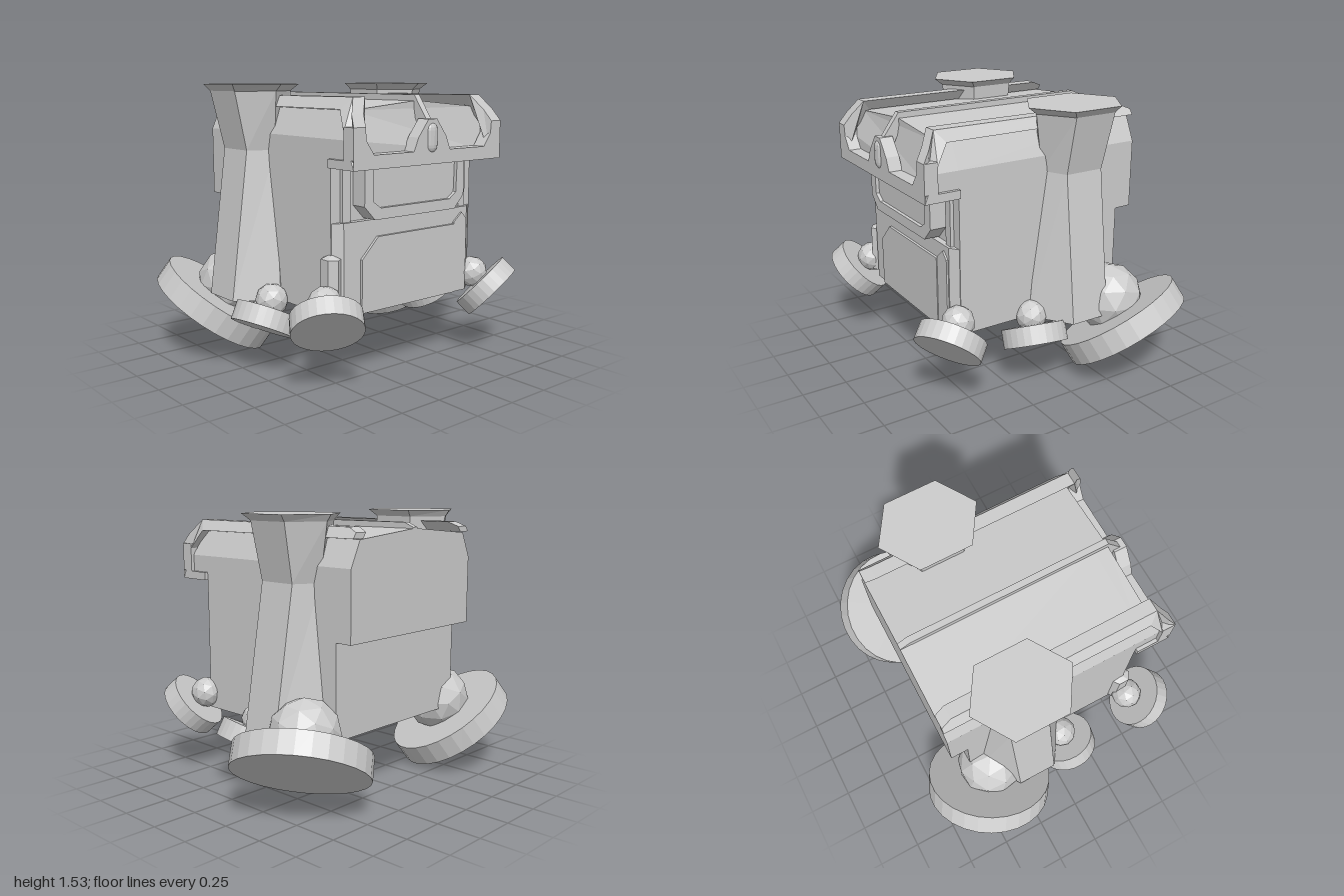
import * as THREE from 'three';

const mat = new THREE.MeshStandardMaterial({ color: 0xcccccc, flatShading: true });
const MID = 0.04; // z of the body's centre plane

function add(parent, name, geo) {
  const m = new THREE.Mesh(geo, mat);
  m.name = name;
  parent.add(m);
  return m;
}
const toShape = (pts) => new THREE.Shape(pts.map(([a, b]) => new THREE.Vector2(a, b)));
// points for z >= 0, from the bottom to the top, completed by their mirror image
const mirrored = (pts) => [...pts, ...pts.slice().reverse().map(([z, y]) => [-z, y])];

// z-y section swept along x
function alongX(pts, x0, x1) {
  const g = new THREE.ExtrudeGeometry(toShape(pts.map(([z, y]) => [-z, y])), { depth: x1 - x0, bevelEnabled: false });
  return g.rotateY(Math.PI / 2).translate(x0, 0, 0);
}
// x-y profile swept along z
function alongZ(pts, z0, z1) {
  return new THREE.ExtrudeGeometry(toShape(pts), { depth: z1 - z0, bevelEnabled: false }).translate(0, 0, z0);
}
// moves vertices by a rule
function warp(geo, rule) {
  const p = geo.attributes.position, v = new THREE.Vector3();
  for (let i = 0; i < p.count; i++) {
    v.fromBufferAttribute(p, i);
    rule(v);
    p.setXYZ(i, v.x, v.y, v.z);
  }
  geo.computeVertexNormals();
  return geo;
}

// six-sided column from rows [y, centreX, centreZ, halfWidth, halfFlat, halfDepth]
function pillarGeometry(rows) {
  const pos = [], idx = [];
  for (const [y, cx, cz, w, f, d] of rows) {
    for (const [x, z] of [[w, 0], [f, -d], [-f, -d], [-w, 0], [-f, d], [f, d]]) pos.push(cx + x, y, cz + z);
  }
  for (let r = 0; r < rows.length - 1; r++) {
    for (let i = 0; i < 6; i++) {
      const a = r * 6 + i, b = r * 6 + (i + 1) % 6;
      idx.push(a, b, b + 6, a, b + 6, a + 6);
    }
  }
  const t = (rows.length - 1) * 6;
  for (let i = 1; i < 5; i++) idx.push(t, t + i, t + i + 1, 0, i + 1, i);
  const g = new THREE.BufferGeometry();
  g.setAttribute('position', new THREE.Float32BufferAttribute(pos, 3));
  g.setIndex(idx);
  const flat = g.toNonIndexed();
  flat.computeVertexNormals();
  return flat;
}

// tilted disc foot with a faceted ball joint; n points out of the sole
function foot(parent, name, c, n, radius, thick, ballR, ballUp) {
  const g = new THREE.Group();
  g.name = name;
  add(g, 'disc', new THREE.CylinderGeometry(radius, radius, thick, 28));
  add(g, 'ballJoint', new THREE.IcosahedronGeometry(ballR, 1)).position.y = ballUp;
  g.position.set(...c);
  g.quaternion.setFromUnitVectors(new THREE.Vector3(0, 1, 0), new THREE.Vector3(...n).normalize().negate());
  parent.add(g);
}

export function createModel() {
  const model = new THREE.Group();
  model.name = 'walker';
  const body = new THREE.Group();
  body.name = 'body';
  body.position.z = MID;
  model.add(body);

  // hull: overhanging upper block, stepped lower block, chamfered front and hood
  const roof = [[0.505, 1.27], [0.44, 1.41], [0, 1.45]];
  const section = (y) => mirrored([[0.505, y], ...roof]);
  const block = (y0, y1, w) => [[w, y0], [w, y1], [-w, y1], [-w, y0]];
  add(body, 'upperHull', alongX(section(0.89), -0.6, 0.52));
  add(body, 'lowerHull', alongX(block(0.368, 0.89, 0.505), -0.5, 0.52));
  add(body, 'lowerFront', warp(alongX(block(0.368, 0.85, 0.5), 0.52, 0.555), (v) => {
    if (v.x > 0.53) v.z *= 0.9;
  }));
  add(body, 'hood', warp(alongX(section(1.16), 0.52, 0.65), (v) => {
    if (v.x > 0.6 && v.y > 1.35) v.x -= 0.05;
  }));

  // roof rails running forward, bending down and outwards round the visor
  const rail = [[-0.6, 1.415], [-0.6, 1.445], [-0.54, 1.47], [0.625, 1.475], [0.68, 1.395], [0.72, 1.335],
    [0.72, 1.13], [0.52, 1.13], [0.52, 1.175], [0.645, 1.175], [0.645, 1.31], [0.575, 1.415]];
  for (const s of [1, -1]) {
    const side = s > 0 ? [0.375, 0.45] : [-0.45, -0.375];
    add(body, 'roofRail', warp(alongZ(rail, ...side), (v) => {
      v.z += s * 0.075 * THREE.MathUtils.clamp((1.475 - v.y) / 0.11, 0, 1);
    }));
  }
  const ridge = [[-0.6, 1.42], [-0.6, 1.455], [-0.54, 1.48], [0.6, 1.48], [0.71, 1.33], [0.64, 1.3], [0.58, 1.42]];
  add(body, 'roofRidge', alongZ(ridge, -0.018, 0.018));

  // visor frame with raised centre, and its oval stud
  const frame = mirrored([[0.49, 1.13], [0.525, 1.18], [0.525, 1.335], [0.45, 1.335], [0.445, 1.27], [0.395, 1.2],
    [0.13, 1.2], [0.1, 1.27], [0.03, 1.36]]);
  add(body, 'visorFrame', alongX(frame, 0.645, 0.72));
  add(body, 'visorFloor', new THREE.BoxGeometry(0.18, 0.045, 0.96)).position.set(0.61, 1.153, 0);
  const stud = add(body, 'visorStud', new THREE.CapsuleGeometry(0.04, 0.075, 4, 10));
  stud.position.set(0.71, 1.265, 0);
  stud.scale.x = 0.6;

  // mouth guard: rim with a recessed plate
  const outer = mirrored([[0.29, 0.857], [0.36, 0.93], [0.36, 1.14]]);
  const inner = mirrored([[0.25, 0.915], [0.3, 0.95], [0.305, 1.135]]);
  const guard = toShape(outer);
  guard.holes.push(new THREE.Path(inner.map(([a, b]) => new THREE.Vector2(a, b))));
  add(body, 'mouthRim', new THREE.ExtrudeGeometry(guard, { depth: 0.1, bevelEnabled: false })
    .rotateY(Math.PI / 2).translate(0.51, 0, 0));
  add(body, 'mouthPlate', alongX(inner, 0.51, 0.59));

  // chest plate and the narrow strips beside it
  add(body, 'chestPlate', alongX([[0.34, 0.368], [0.34, 0.65], [0.23, 0.76], [-0.34, 0.76], [-0.34, 0.368]], 0.5, 0.57));
  add(body, 'sideStrip', alongX([[-0.34, 0.368], [-0.34, 0.77], [-0.4, 0.82], [-0.44, 0.78], [-0.44, 0.368]], 0.5, 0.565));
  for (const s of [1, -1]) {
    add(body, 'cornerStrip', new THREE.BoxGeometry(0.04, 0.3, 0.05)).position.set(0.52, 0.99, s * 0.42);
  }

  // six-sided post with a pointed cap on the front corner
  const post = new THREE.Group();
  post.name = 'cornerPost';
  post.position.set(0.51, 0, 0.495);
  post.scale.z = 0.85;
  add(post, 'postShaft', new THREE.CylinderGeometry(0.06, 0.06, 0.27, 6)).position.y = 0.535;
  add(post, 'postCap', new THREE.ConeGeometry(0.06, 0.025, 6)).position.y = 0.6825;
  post.children.forEach((m) => { m.rotation.y = Math.PI / 6; });
  body.add(post);

  // waisted side pillars with flared tops
  const rows = [
    [0.37, -0.165, 0.515, 0.26, 0.115, 0.215],
    [1.18, -0.182, 0.475, 0.18, 0.113, 0.135],
    [1.495, -0.19, 0.5, 0.245, 0.125, 0.18],
    [1.532, -0.18, 0.5, 0.283, 0.148, 0.214],
  ];
  for (const s of [1, -1]) {
    const turned = rows.map(([y, x, z, ...r]) => [y, x, s * z, ...r]);
    add(body, 'sidePillar', pillarGeometry(turned));
  }

  // three feet on each side
  for (const s of [1, -1]) {
    const z = s > 0 ? 0.647 : -0.522;
    foot(model, 'rearFoot', [-0.432, s > 0 ? 0.267 : 0.285, s * 0.645], [-0.32, -0.82, s * 0.48], 0.367, 0.13, 0.195, 0.155);
    foot(model, 'middleFoot', [0.097, 0.284, z + s * 0.012], [0.1, -0.88, s * 0.46], 0.178, 0.105, 0.09, 0.11);
    foot(model, 'frontFoot', [0.617, 0.378, z], [0.62, -0.68, s * 0.38], 0.185, 0.1, 0.09, 0.115);
  }
  return model;
}
